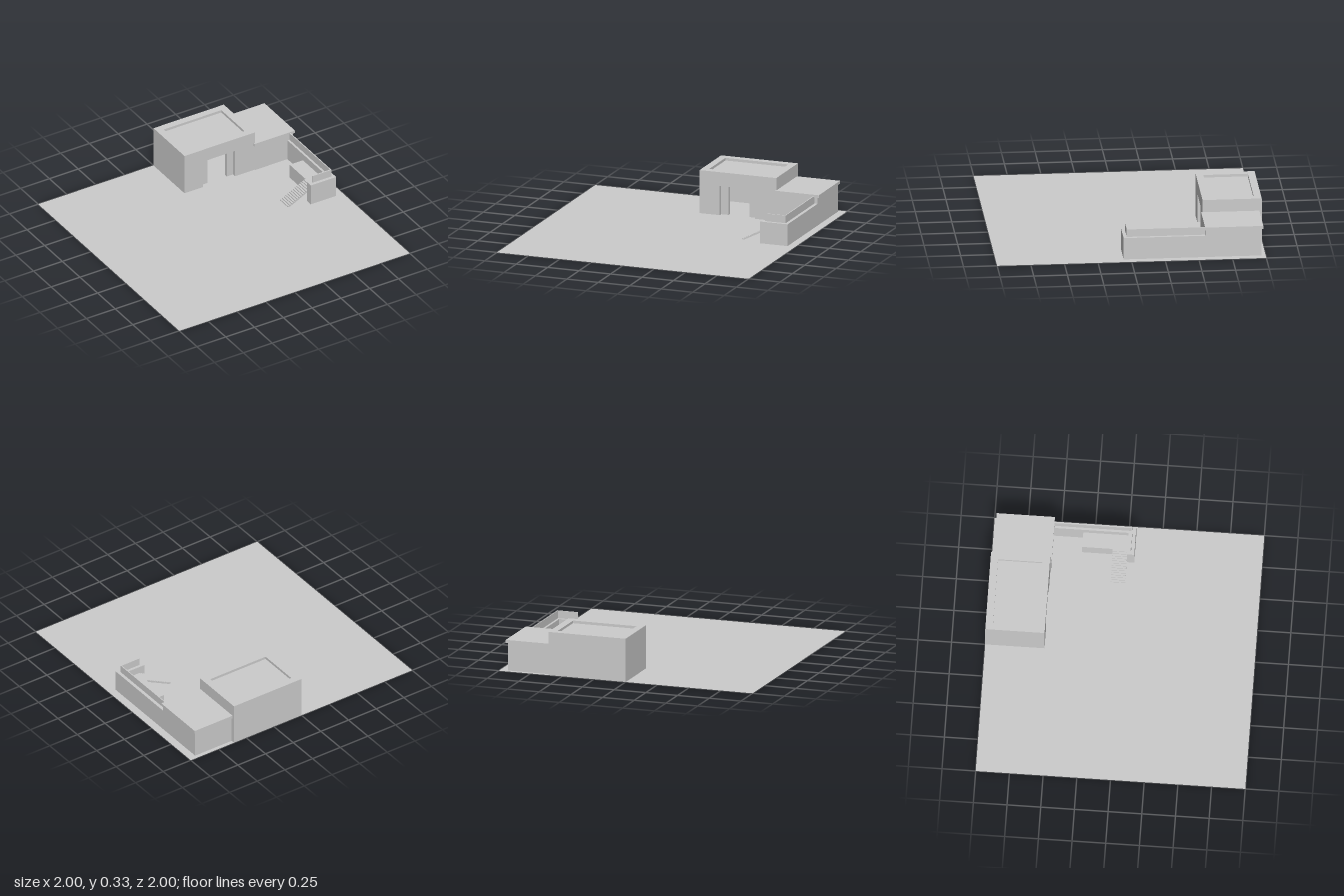
import * as THREE from 'three';

const material = new THREE.MeshStandardMaterial({ color: 0xcccccc, flatShading: true });
const sheet = new THREE.MeshStandardMaterial({ color: 0xcccccc, side: THREE.DoubleSide });

export function createModel() {
  const root = new THREE.Group();

  const add = (parent, name, geometry, mat = material) => {
    const mesh = new THREE.Mesh(geometry, mat);
    mesh.name = name;
    parent.add(mesh);
    return mesh;
  };
  const group = (name) => {
    const g = new THREE.Group();
    g.name = name;
    root.add(g);
    return g;
  };
  // Box given by its limits on each axis
  const block = (parent, name, [x0, x1], [y0, y1], [z0, z1]) => {
    const mesh = add(parent, name, new THREE.BoxGeometry(x1 - x0, y1 - y0, z1 - z0));
    mesh.position.set((x0 + x1) / 2, (y0 + y1) / 2, (z0 + z1) / 2);
  };
  // Outline in x and y, extruded from z0 to z1
  const slab = (parent, name, points, z0, z1) => {
    const shape = new THREE.Shape(points.map(([x, y]) => new THREE.Vector2(x, y)));
    const geometry = new THREE.ExtrudeGeometry(shape, { depth: z1 - z0, bevelEnabled: false });
    add(parent, name, geometry.translate(0, 0, z0));
  };
  // Wall outline with a doorway cut from its foot
  const doorway = (x0, x1, top, d0, d1, doorTop) => [
    [x0, 0], [d0, 0], [d0, doorTop], [d1, doorTop], [d1, 0], [x1, 0], [x1, top], [x0, top],
  ];

  // Flat plot
  add(root, 'ground', new THREE.PlaneGeometry(2, 2).rotateX(-Math.PI / 2), sheet);

  // Main house: hollow, with a stepped doorway and a sunken roof
  const house = group('mainHouse');
  const height = 0.33, rim = 0.055;
  slab(house, 'frontWall', doorway(0, 0.61, height, 0.16, 0.44, 0.225), -0.59, -0.56);
  slab(house, 'doorSurround', doorway(0, 0.61, height, 0.22, 0.385, 0.225), -0.615, -0.59);
  block(house, 'backWall', [0, 0.61], [0, height], [-1, -1 + rim]);
  block(house, 'rightWall', [0, rim], [0, height], [-1 + rim, -0.615]);
  block(house, 'leftWall', [0.61 - rim, 0.61], [0, height], [-1 + rim, -0.615]);
  block(house, 'roof', [rim, 0.61 - rim], [0.26, 0.31], [-1 + rim, -0.615]);

  // Low side wing with an overhanging roof
  const wing = group('sideWing');
  block(wing, 'wingBody', [0.61, 0.94], [0, 0.213], [-0.97, -0.555]);
  block(wing, 'wingRoof', [0.6, 0.952], [0.213, 0.235], [-0.982, -0.55]);

  // Courtyard wall with a thin screen on top
  const yard = group('courtyardWall');
  block(yard, 'longWall', [0.89, 0.94], [0, 0.167], [-0.555, 0.055]);
  block(yard, 'endWall', [0.72, 0.89], [0, 0.167], [0, 0.055]);
  block(yard, 'longScreen', [0.907, 0.915], [0.167, 0.225], [-0.555, 0.03]);
  block(yard, 'endScreen', [0.75, 0.907], [0.167, 0.225], [0.022, 0.03]);

  // Raised landing reached by a thin flight of steps
  const landingTop = 0.113;
  block(yard, 'landing', [0.775, 0.89], [0, landingTop], [-0.335, 0]);
  const steps = 14, run = (0.775 - 0.555) / steps, rise = landingTop / steps;
  const profile = [[0.555, 0]];
  for (let i = 0; i < steps; i++) {
    profile.push([0.555 + i * run, (i + 1) * rise], [0.555 + (i + 1) * run, (i + 1) * rise]);
  }
  profile.push([0.775, landingTop - 0.012], [0.575, 0]);
  slab(yard, 'steps', profile.reverse(), -0.11, 0);

  return root;
}
